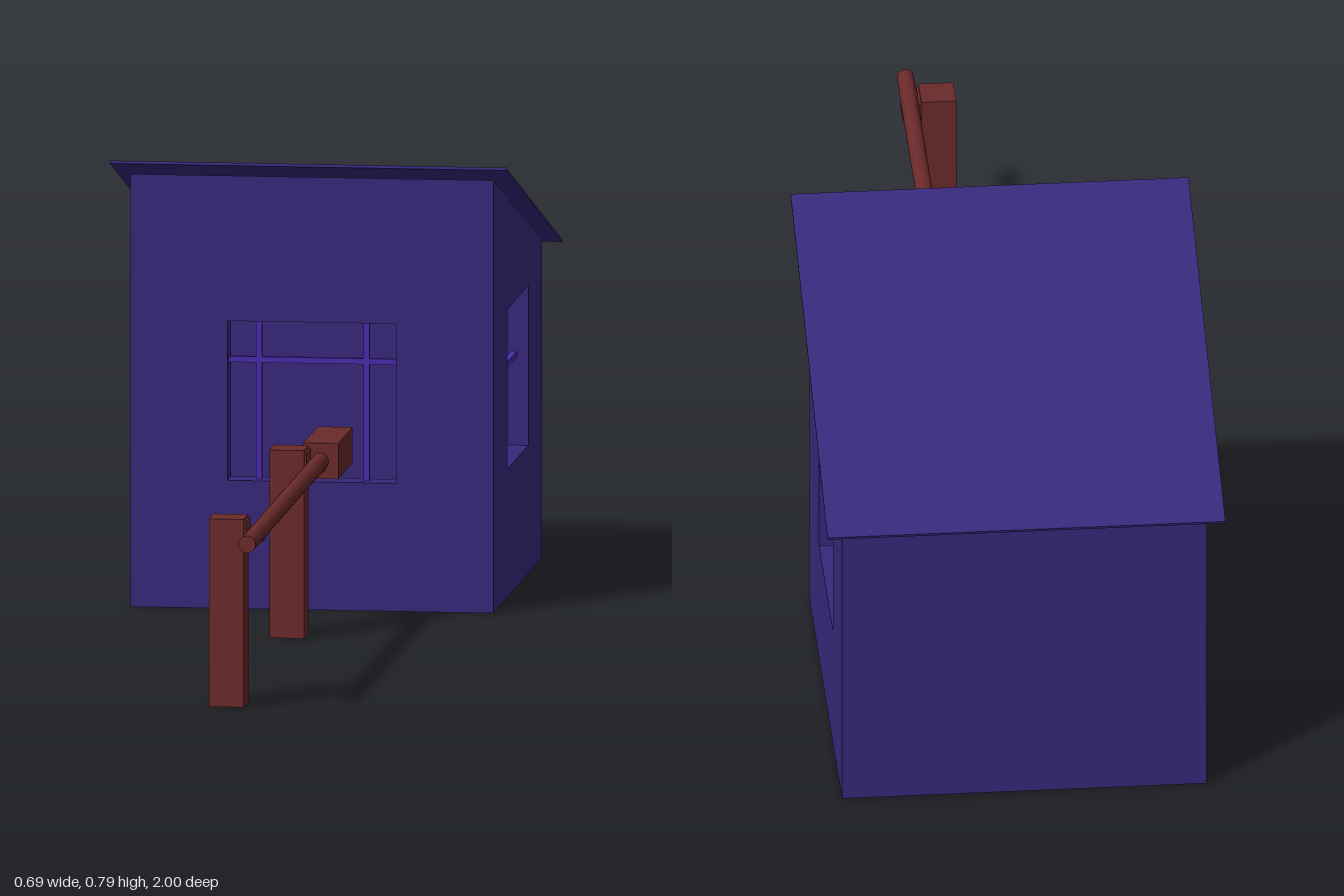
import * as THREE from 'three';

const mat = (color) => new THREE.MeshStandardMaterial({ color });

export function createModel() {
  const model = new THREE.Group();
  const wallMat = mat(0x38287c), trimMat = mat(0x4a2cae), woodMat = mat(0x6b2a2a);

  const add = (name, geo, material, x = 0, y = 0, z = 0, parent = model) => {
    const m = new THREE.Mesh(geo, material);
    m.name = name;
    m.position.set(x, y, z);
    parent.add(m);
    return m;
  };
  // Box given by its limits on each axis
  const box = (name, material, [x0, x1], [y0, y1], [z0, z1], parent) =>
    add(name, new THREE.BoxGeometry(x1 - x0, y1 - y0, z1 - z0), material,
      (x0 + x1) / 2, (y0 + y1) / 2, (z0 + z1) / 2, parent);
  const polygon = (pts) => pts.map(([a, b]) => new THREE.Vector2(a, b));
  const rect = (a0, b0, a1, b1) => polygon([[a0, b0], [a1, b0], [a1, b1], [a0, b1]]);
  const extrude = (outline, hole, depth) => {
    const shape = new THREE.Shape(outline);
    if (hole) shape.holes.push(new THREE.Path(hole));
    return new THREE.ExtrudeGeometry(shape, { depth, bevelEnabled: false });
  };

  // Booth dimensions
  const W = 0.318, T = 0.05, zF = -0.273, zB = -0.955;
  const yF = 0.76, yB = 0.56, slope = (yF - yB) / (zF - zB);
  const o0 = -0.76, o1 = -0.47, sill = 0.225, head = 0.505;
  const booth = new THREE.Group();
  booth.name = 'booth';
  model.add(booth);

  // Side walls: sloped top; window on the left side, doorway on the right side
  const windowWall = extrude(polygon([[zB, 0], [zF, 0], [zF, yF], [zB, yB]]),
    rect(o0, sill, o1, head), T);
  const doorWall = extrude(polygon([[zB, 0], [o0, 0], [o0, head], [o1, head], [o1, 0],
    [zF, 0], [zF, yF], [zB, yB]]), null, T);
  add('leftWall', windowWall, wallMat, W, 0, 0, booth).rotation.y = -Math.PI / 2;
  add('rightWall', doorWall, wallMat, -W + T, 0, 0, booth).rotation.y = -Math.PI / 2;

  // Front and back walls between the sides, tops sheared to follow the roof
  const crossWall = (name, hole, z0) => {
    const geo = extrude(rect(-W + T, 0, W - T, 1), hole, T);
    const p = geo.attributes.position;
    for (let i = 0; i < p.count; i++) {
      if (p.getY(i) > 0.9) p.setY(i, yB + slope * (z0 + p.getZ(i) - zB));
    }
    geo.computeVertexNormals();
    add(name, geo, wallMat, 0, 0, z0, booth);
  };
  crossWall('frontWall', rect(-0.148, sill, 0.147, head), zF - T);
  crossWall('backWall', null, zB);

  // Thin sloping roof
  const rF = [-0.22, 0.788], rB = [-1, 0.551];
  const dz = rF[0] - rB[0], dy = rF[1] - rB[1];
  const roof = add('roof', new THREE.BoxGeometry(0.694, 0.005, Math.hypot(dz, dy)), wallMat,
    0, (rF[1] + rB[1]) / 2, (rF[0] + rB[0]) / 2, booth);
  roof.rotation.x = -Math.atan2(dy, dz);

  // Window bars
  const b = 0.005, zBar = zF - T / 2, xBar = W - T / 2;
  for (const x of [-0.095, 0.093]) {
    box('frontWindowBar', trimMat, [x - b, x + b], [sill, head], [zBar - b, zBar + b], booth);
  }
  box('frontWindowRail', trimMat, [-0.148, 0.147], [0.43, 0.44], [zBar - b, zBar + b], booth);
  box('sideWindowBar', trimMat, [xBar - b, xBar + b], [sill, head], [-0.61, -0.6], booth);
  box('sideWindowRail', trimMat, [xBar - b, xBar + b], [0.38, 0.39], [o0, o1], booth);

  // Recessed door with a small lever handle
  box('door', trimMat, [-W + 0.03, -W + 0.042], [0.004, head], [o0, o1], booth);
  const lever = new THREE.CatmullRomCurve3([[-0.288, -0.725], [-0.306, -0.725], [-0.31, -0.72], [-0.31, -0.685]]
    .map(([x, z]) => new THREE.Vector3(x, 0.27, z)));
  add('doorHandle', new THREE.TubeGeometry(lever, 12, 0.004, 8), trimMat, 0, 0, 0, booth);

  // Barrier: two posts with cradles, a round pole and a counterweight
  const barrier = new THREE.Group();
  barrier.name = 'barrier';
  model.add(barrier);
  const poleX = 0.046, poleY = 0.298;
  const cradleMat = woodMat.clone();
  cradleMat.side = THREE.DoubleSide;
  for (const z of [0.043, 0.888]) {
    box('post', woodMat, [-0.031, 0.03], [0, 0.33], [z - 0.032, z + 0.032], barrier);
    const cradle = new THREE.CylinderGeometry(0.017, 0.017, 0.06, 16, 1, true, -Math.PI / 2, Math.PI);
    add('poleCradle', cradle, cradleMat, poleX, poleY, z, barrier).rotation.x = Math.PI / 2;
    box('cradlePlate', woodMat, [0.03, 0.034], [0.27, 0.325], [z - 0.03, z + 0.03], barrier);
  }
  add('pole', new THREE.CylinderGeometry(0.015, 0.015, 1.04, 24), woodMat,
    poleX, poleY, 0.48, barrier).rotation.x = Math.PI / 2;
  box('counterweight', woodMat, [0.017, 0.078], [0.267, 0.33], [-0.22, -0.02], barrier);

  return model;
}
